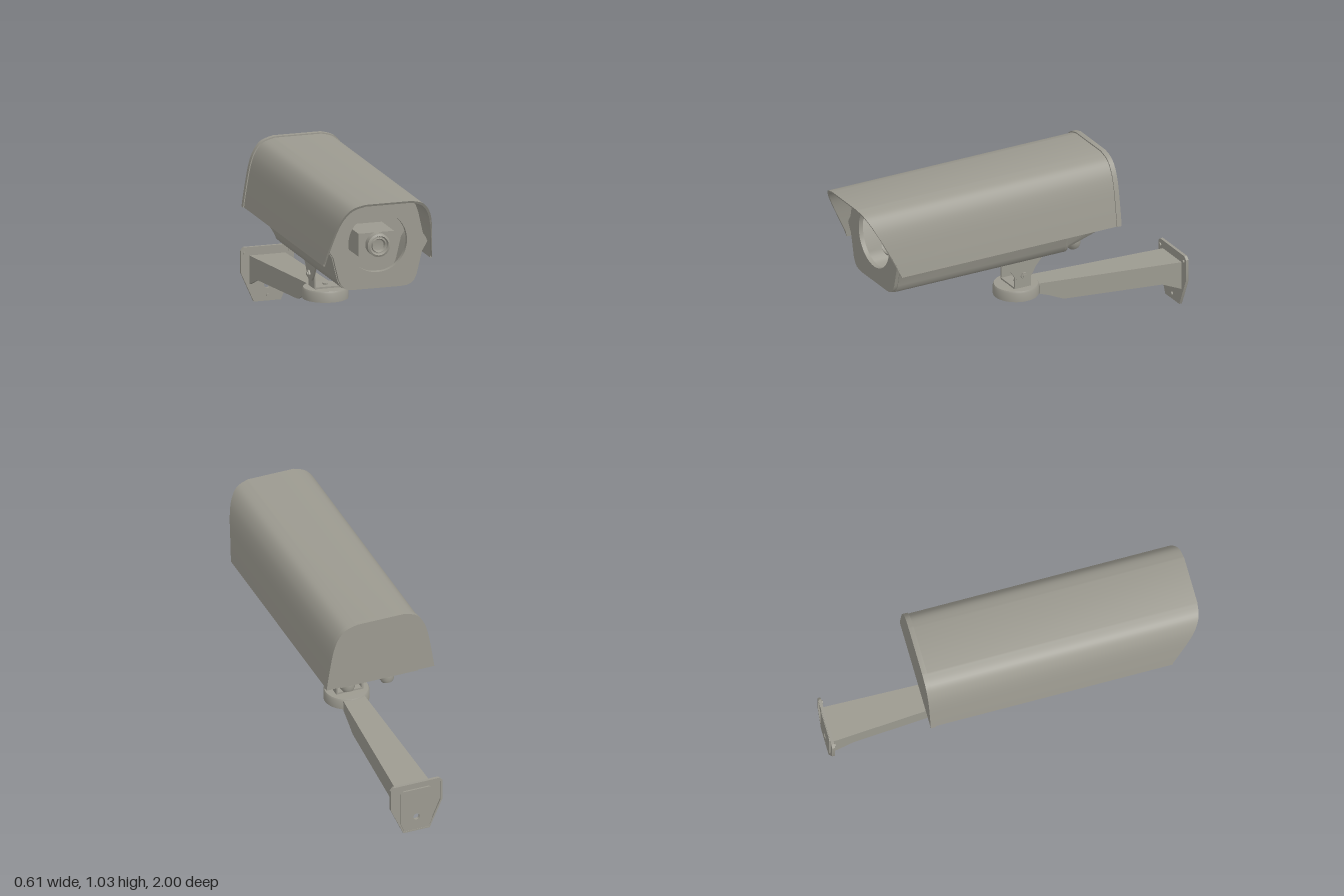
import * as THREE from 'three';
import { toCreasedNormals } from 'three/addons/utils/BufferGeometryUtils.js';

const grey = new THREE.MeshStandardMaterial({ color: 0x9c9a90 });
grey.name = 'paintedGrey';

const V = (list) => list.map(([x, y]) => new THREE.Vector2(x, y));

// Move every vertex of a geometry by a rule
function bend(geo, rule) {
  const p = geo.attributes.position, v = new THREE.Vector3();
  for (let i = 0; i < p.count; i++) {
    rule(v.fromBufferAttribute(p, i));
    p.setXYZ(i, v.x, v.y, v.z);
  }
  return geo;
}

// Closed right-left symmetrical outline from its +x half, listed bottom to top
const mirrored = (half) => [...half, ...half.map(([x, y]) => [-x, y]).reverse()];
const scaled = (pts, s, cy, sy = s) => pts.map(([x, y]) => [x * s, cy + (y - cy) * sy]);

// Extrude an outline along z between two depths
function prism(shape, z0, z1) {
  const geo = new THREE.ExtrudeGeometry(shape, { depth: z1 - z0, bevelEnabled: false, curveSegments: 24 });
  return geo.translate(0, 0, z0);
}

// Extrude a side profile given as [z, y] between two x positions
function sidePrism(pts, x0, x1) {
  const geo = prism(new THREE.Shape(V(pts)), 0, x1 - x0);
  return geo.rotateY(-Math.PI / 2).translate(x1, 0, 0);
}

function circleHole(x, y, r) {
  return new THREE.Path().absarc(x, y, r, 0, Math.PI * 2, true);
}

// Smooth points through a few guide points
function smooth(pts, n) {
  return new THREE.SplineCurve(V(pts)).getPoints(n).map((p) => [p.x, p.y]);
}

export function createModel() {
  const model = new THREE.Group();
  const add = (name, geo, parent = model, crease = 0.6) => {
    const m = new THREE.Mesh(toCreasedNormals(geo, crease), grey);
    m.name = name;
    parent.add(m);
    return m;
  };

  // Sun hood: thin arch with a slanted front
  const archSide = smooth([[0.302, 0.66], [0.287, 0.76], [0.265, 0.88], [0.238, 0.955],
    [0.195, 1.005], [0.13, 1.026]], 24);
  const arch = mirrored(archSide);
  const archInner = mirrored(archSide.map(([x, y]) => [x * 0.965, 0.66 + (y - 0.66) * 0.968]));
  const hoodShape = new THREE.Shape(V([...arch, ...archInner.reverse()]));
  const hood = bend(prism(hoodShape, -0.5, 0.82), (v) => {
    if (v.z > 0) v.z += Math.max(0, v.y - 0.675) * 0.18 / 0.351;
  });
  add('sunHood', hood);

  // Closed rear cap of the hood
  add('hoodRearCap', prism(new THREE.Shape(V(scaled(arch, 1.018, 0.66))), -0.505, -0.478));

  // Housing outline with a hinge ridge on each side
  const outline = mirrored([[0.13, 0.515], [0.165, 0.518], [0.19, 0.528], [0.207, 0.546], [0.22, 0.575],
    [0.25, 0.7], [0.272, 0.735], [0.28, 0.752], [0.272, 0.772], [0.256, 0.795],
    [0.228, 0.92], [0.213, 0.96], [0.185, 0.988], [0.14, 1.0]]);
  const tube = new THREE.Shape(V(outline));
  tube.holes.push(new THREE.Path(V(scaled(outline, 0.94, 0.757))));
  add('housingShell', prism(tube, -0.22, 0.8));
  add('housingBulkhead', prism(new THREE.Shape(V(outline)), -0.232, -0.215));

  // Front plate with the round window opening
  const plate = new THREE.Shape(V(scaled(outline, 0.985, 0.75)));
  plate.holes.push(circleHole(0, 0.768, 0.163));
  add('frontPlate', prism(plate, 0.795, 0.82));
  add('innerWall', prism(new THREE.Shape(V(scaled(outline, 0.95, 0.757))), 0.5, 0.51));

  // Rear of the housing, with its underside sloping up
  const rear = bend(prism(new THREE.Shape(V(outline)), -0.49, -0.23), (v) => {
    v.y = Math.max(v.y, v.z < -0.4 ? 0.645 : 0.555);
  });
  add('slopedRear', rear, model, 0.3);

  // Camera box and lens behind the window
  const box = new THREE.BoxGeometry(0.198, 0.125, 0.2);
  add('cameraBox', box.translate(0.026, 0.732, 0.62));
  const lens = new THREE.LatheGeometry(V([[0.063, 0], [0.063, 0.045], [0.052, 0.05], [0.046, 0.035],
    [0.04, 0.035], [0.037, 0.045], [0.03, 0.03], [0, 0.025]]), 24);
  add('lens', lens.rotateX(Math.PI / 2).translate(0.028, 0.732, 0.715));

  // Two cable glands on the sloped panel
  for (const s of [1, -1]) {
    const gland = new THREE.Group();
    gland.name = 'cableGland';
    gland.position.set(s * 0.112, 0.61, -0.295);
    gland.rotation.x = 0.3;
    model.add(gland);
    add('glandNut', new THREE.CylinderGeometry(0.054, 0.054, 0.035, 6).translate(0, -0.022, 0), gland);
    add('glandDome', new THREE.LatheGeometry(V([[0, -0.1], [0.016, -0.1], [0.018, -0.112], [0.028, -0.112],
      [0.039, -0.095], [0.043, -0.07], [0.043, -0.06], [0.037, -0.056], [0.037, -0.035]]), 20), gland);
  }

  // Upper bracket under the housing
  add('upperBracketPlate', new THREE.BoxGeometry(0.17, 0.012, 0.3).translate(0, 0.51, -0.025));
  const ear = [[0.13, 0.516], [0.12, 0.482], [0.105, 0.472], [0.07, 0.46], [0.04, 0.425], [0.015, 0.385],
    [-0.01, 0.36], [-0.035, 0.353], [-0.06, 0.36], [-0.085, 0.385], [-0.11, 0.43], [-0.14, 0.465],
    [-0.17, 0.495], [-0.18, 0.516]];
  const tab = [[0.012, 0.318], [-0.085, 0.318], [-0.085, 0.39], [-0.072, 0.43], [-0.036, 0.447],
    [0, 0.43], [0.012, 0.39]];
  for (const s of [1, -1]) {
    add('upperBracketEar', sidePrism(ear, s * 0.082 - 0.005, s * 0.082 + 0.005));
    add('lowerBracketEar', sidePrism(tab, s * 0.072 - 0.005, s * 0.072 + 0.005));
    const bolt = new THREE.CylinderGeometry(0.01, 0.01, 0.05, 10).rotateZ(Math.PI / 2);
    add('tiltBolt', bolt.translate(s * 0.08, 0.393, -0.036));
    for (const [x, r] of [[0.094, 0.02], [0.062, 0.018]]) {
      const nut = new THREE.CylinderGeometry(r, r, 0.01, 6).rotateZ(Math.PI / 2);
      add('tiltNut', nut.translate(s * x, 0.393, -0.036));
    }
  }
  add('lowerBracketPlate', new THREE.BoxGeometry(0.144, 0.01, 0.097).translate(0, 0.321, -0.036));
  for (const y of [0.327, 0.502]) {
    add('centreBolt', new THREE.CylinderGeometry(0.014, 0.014, 0.016, 6).translate(0, y, -0.036));
  }

  // Round swivel base, hollow below
  const swivel = new THREE.LatheGeometry(V([[0, 0.29], [0.106, 0.29], [0.106, 0.256], [0.122, 0.256],
    [0.122, 0.305], [0.117, 0.315], [0, 0.318]]), 40);
  add('swivelBase', swivel.translate(0, 0, -0.038));

  // Tapered arm: channel open from below
  const half = (z) => 0.06 + (-z - 0.1) * 0.0455;
  const top = [[-0.1, 0.312], [-0.985, 0.256], [-0.985, 0.244], [-0.1, 0.3]];
  add('armTop', bend(sidePrism(top, -1, 1), (v) => { v.x *= half(v.z); }));
  const wall = [[-0.145, 0.307], [-0.145, 0.25], [-0.2, 0.23], [-0.29, 0.19], [-0.87, 0.15],
    [-0.985, 0.1], [-0.985, 0.254]];
  for (const s of [1, -1]) {
    const geo = sidePrism(wall, -0.006, 0.006);
    add('armWall', bend(geo, (v) => { v.x += s * (half(v.z) - 0.006); }));
  }

  // Wall plate: thin sheet, rear rim and central rear pad
  const edge = mirrored([[0.075, 0.003], [0.147, 0.165], [0.147, 0.285], [0.13, 0.302]]);
  const sheet = new THREE.Shape(V(edge));
  sheet.holes.push(circleHole(0, 0.09, 0.018));
  add('wallPlate', prism(sheet, -0.991, -0.984));
  const rim = new THREE.Shape(V(edge));
  rim.holes.push(new THREE.Path(V(scaled(edge, 0.93, 0.155, 0.95))));
  add('wallPlateRim', prism(rim, -1, -0.991));
  const pad = new THREE.Shape(V(mirrored([[0.07, 0.012], [0.088, 0.06], [0.088, 0.25], [0.075, 0.262]])));
  pad.holes.push(circleHole(0, 0.09, 0.018));
  add('wallPlatePad', prism(pad, -1, -0.991));
  for (const [x, y] of [[0, 0.035], [0.125, 0.27], [-0.125, 0.27]]) {
    const screw = new THREE.CylinderGeometry(0.009, 0.009, 0.01, 10).rotateX(Math.PI / 2);
    add('wallScrew', screw.translate(x, y, -0.981));
  }
  return model;
}
